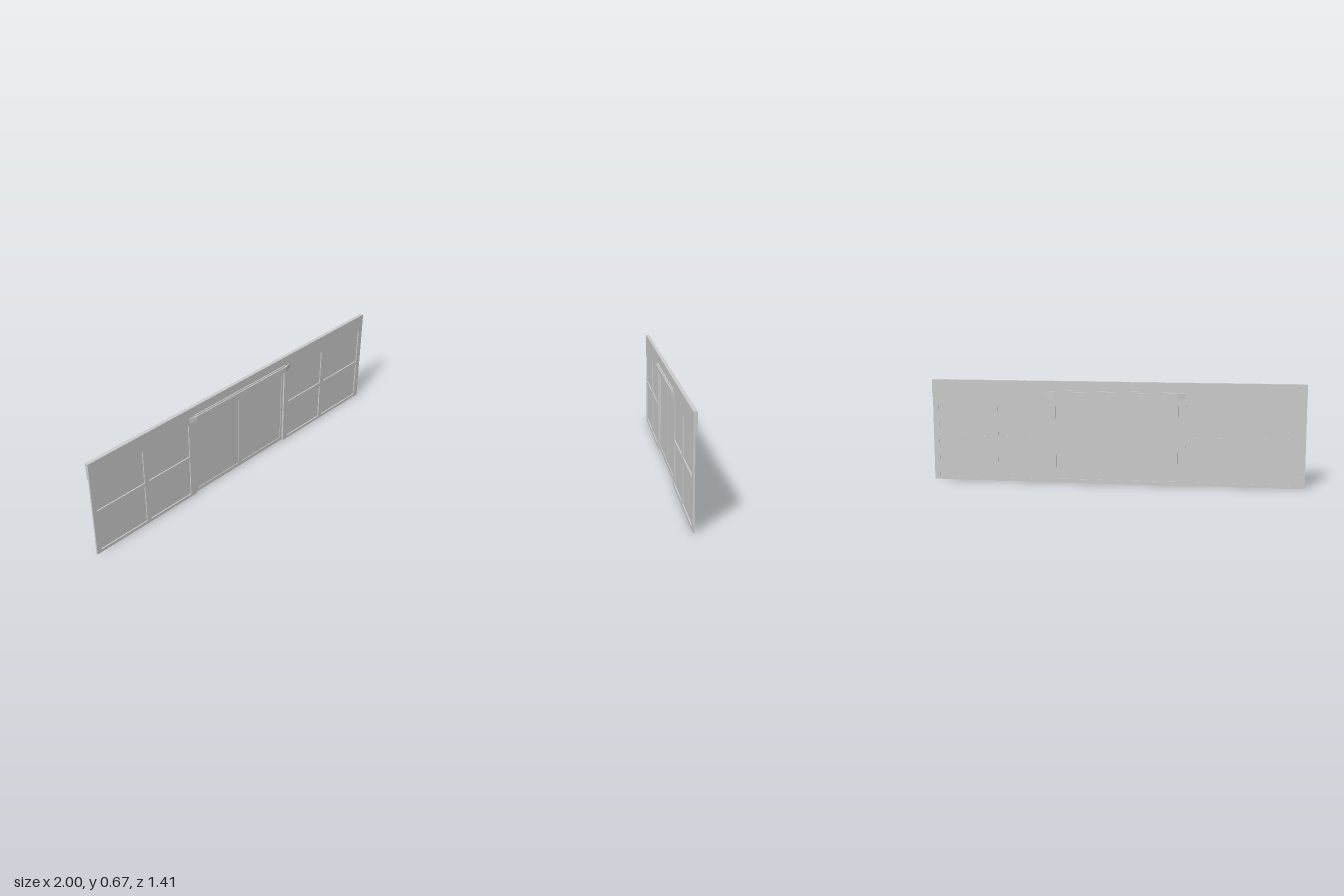
import * as THREE from 'three';

const T = 0.0115;        // thickness of one wall layer
const HALF = 1.21;       // half length of the wall
const TOP = 0.665;
const DOOR_W = 0.404;    // half width of the doorway
const DOOR_H = 0.55;

const material = new THREE.MeshStandardMaterial({ color: 0xcccccc, flatShading: true });

function polygon(points) {
  return new THREE.Shape(points.map(([x, y]) => new THREE.Vector2(x, y)));
}

function rectPoints([x0, x1, y0, y1]) {
  return [[x0, y0], [x1, y0], [x1, y1], [x0, y1]];
}

function add(parent, name, geometry, x = 0, y = 0, z = 0) {
  const mesh = new THREE.Mesh(geometry, material);
  mesh.name = name;
  mesh.position.set(x, y, z);
  parent.add(mesh);
  return mesh;
}

// Flat panel with rectangular openings, each filled by a thin recessed pane
function panelWithPanes(parent, name, outline, panes, z, paneName, paneZ, paneT) {
  const shape = polygon(outline);
  for (const p of panes) shape.holes.push(polygon(rectPoints(p).reverse()));
  add(parent, name, new THREE.ExtrudeGeometry(shape, { depth: T, bevelEnabled: false }), 0, 0, z);
  for (const [x0, x1, y0, y1] of panes) {
    add(parent, paneName, new THREE.BoxGeometry(x1 - x0, y1 - y0, paneT),
      (x0 + x1) / 2, (y0 + y1) / 2, paneZ);
  }
}

export function createModel() {
  const model = new THREE.Group();
  model.name = 'storefrontWall';

  // Front wall layer with a doorway notch and eight windows
  const windows = [];
  for (const [x0, x1] of [[-1.18, -0.82], [-0.788, -0.454]]) {
    windows.push([x0, x1, 0.021, 0.294], [x0, x1, 0.314, 0.547]);
  }
  for (const [x0, x1] of [[0.448, 0.775], [0.807, 1.173]]) {
    windows.push([x0, x1, 0.02, 0.274], [x0, x1, 0.3, 0.547]);
  }
  const wallOutline = [
    [-HALF, 0], [-DOOR_W, 0], [-DOOR_W, DOOR_H], [DOOR_W, DOOR_H],
    [DOOR_W, 0], [HALF, 0], [HALF, TOP], [-HALF, TOP],
  ];
  panelWithPanes(model, 'wall', wallOutline, windows, 0, 'windowPane', 0.003, 0.002);

  // Header band thickening the wall at the back
  add(model, 'header', new THREE.BoxGeometry(HALF * 2, TOP - DOOR_H, T),
    0, (TOP + DOOR_H) / 2, -T / 2);

  // Double door set behind the wall layer
  const doorPanes = [[-0.385, -0.012, 0.025, 0.525], [0.014, 0.388, 0.025, 0.525]];
  panelWithPanes(model, 'doorFrame', rectPoints([-DOOR_W, DOOR_W, 0, DOOR_H]),
    doorPanes, -T, 'doorPane', -T / 2, 0.003);

  // Stepped lintel moulding with tapered ends, on both faces
  const lintel = new THREE.Group();
  lintel.name = 'lintel';
  for (const [y0, y1, end, inner, depth] of [
    [0.553, 0.565, 0.447, 0.402, 0.018],
    [0.565, 0.597, 0.452, 0.402, 0.025],
    [0.597, 0.605, 0.41, 0.395, 0.018],
  ]) {
    const plan = polygon([
      [-end, -T], [-inner, -depth], [inner, -depth], [end, -T],
      [end, T], [inner, depth], [-inner, depth], [-end, T],
    ]);
    const step = new THREE.ExtrudeGeometry(plan, { depth: y1 - y0, bevelEnabled: false });
    step.rotateX(-Math.PI / 2);
    add(lintel, 'lintelStep', step, 0, y0, 0);
  }
  model.add(lintel);

  // The wall stands diagonally
  model.rotation.y = THREE.MathUtils.degToRad(35);
  const root = new THREE.Group();
  root.name = 'diagonalWall';
  root.add(model);
  return root;
}
